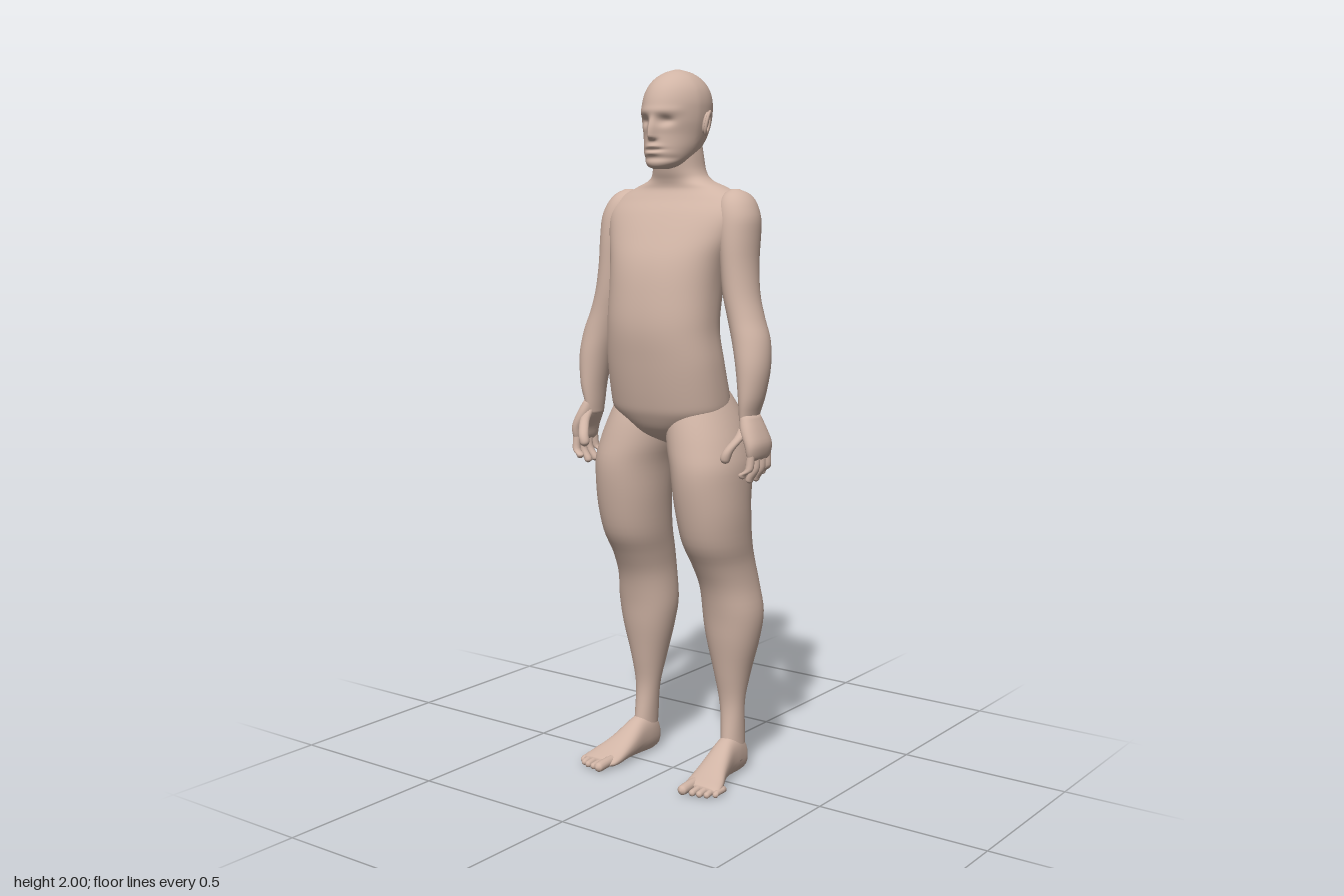
import * as THREE from 'three';

const skin = new THREE.MeshStandardMaterial({ color: 0xd0b4a5 });
skin.name = 'skin';

// Monotone cubic interpolation of column k between rows i and i + 1
function blend(rows, i, k, t) {
  const d = (j) => rows[j + 1][k] - rows[j][k];
  const slope = (j) => {
    if (j === 0) return d(0);
    if (j === rows.length - 1) return d(j - 1);
    const a = d(j - 1), b = d(j);
    if (a * b <= 0) return 0;
    return Math.sign(a) * Math.min(Math.abs(a + b) / 2, 3 * Math.abs(a), 3 * Math.abs(b));
  };
  const t2 = t * t, t3 = t2 * t;
  return rows[i][k] * (2 * t3 - 3 * t2 + 1) + slope(i) * (t3 - 2 * t2 + t)
    + rows[i + 1][k] * (3 * t2 - 2 * t3) + slope(i + 1) * (t3 - t2);
}

// Smooth skin through rows [along, xMin, xMax, otherMin, otherMax], "along" ascending.
// axis 'y': other = z. axis 'z': other = y. power > 2 squares the cross-section off.
function loft(name, rows, { axis = 'y', sides = 32, steps = 4, power = 2, rule = null } = {}) {
  const pos = [], index = [], rings = (rows.length - 1) * steps + 1;
  const v = new THREE.Vector3();
  const add = (a, x, o) => {
    if (axis === 'y') v.set(x, a, o); else v.set(x, o, a);
    if (rule) rule(v);
    pos.push(v.x, v.y, v.z);
  };
  const tri = (a, b, c) => (axis === 'y' ? index.push(a, b, c) : index.push(a, c, b));
  const soft = (c) => Math.sign(c) * Math.abs(c) ** (2 / power);
  for (let r = 0; r < rings; r++) {
    const i = Math.min(Math.floor(r / steps), rows.length - 2);
    const [a, x0, x1, o0, o1] = [0, 1, 2, 3, 4].map((k) => blend(rows, i, k, r / steps - i));
    for (let s = 0; s < sides; s++) {
      const q = (s / sides) * Math.PI * 2;
      add(a, (x0 + x1) / 2 + (x1 - x0) / 2 * soft(Math.cos(q)),
        (o0 + o1) / 2 + (o1 - o0) / 2 * soft(Math.sin(q)));
    }
  }
  for (let r = 0; r < rings - 1; r++) for (let s = 0; s < sides; s++) {
    const a = r * sides + s, b = r * sides + (s + 1) % sides;
    tri(a, a + sides, b);
    tri(b, a + sides, b + sides);
  }
  // End caps
  const first = rows[0], last = rows[rows.length - 1], n = rings * sides;
  for (const e of [first, last]) add(e[0], (e[1] + e[2]) / 2, (e[3] + e[4]) / 2);
  for (let s = 0; s < sides; s++) {
    const t = (s + 1) % sides, top = n - sides;
    tri(n, s, t);
    tri(n + 1, top + t, top + s);
  }
  const g = new THREE.BufferGeometry();
  g.setAttribute('position', new THREE.Float32BufferAttribute(pos, 3));
  g.setIndex(index);
  g.computeVertexNormals();
  const mesh = new THREE.Mesh(g, skin);
  mesh.name = name;
  return mesh;
}

// Rows for centred parts, from [y, halfWidth, back, front]
const centred = (rows) => rows.map(([y, w, b, f]) => [y, -w, w, b, f]);
// Mirror rows to the chosen side
const toSide = (rows, s) => rows.map(([a, x0, x1, o0, o1]) => (s > 0 ? [a, x0, x1, o0, o1] : [a, -x1, -x0, o0, o1]));
// Rows for a rounded finger or toe through points [along, x, other]
function digit(points, r, tipAtEnd) {
  const pts = tipAtEnd ? points.map(([a, x, o]) => [-a, x, o]).reverse() : points;
  const [a0, x0, o0] = pts[0];
  const rows = [[0, 0.15], [0.3, 0.7], [1, 1]].map(([d, k]) => [a0 + d * r, x0 - k * r, x0 + k * r, o0 - k * r, o0 + k * r]);
  for (const [a, x, o] of pts.slice(1)) rows.push([a, x - r, x + r, o - r, o + r]);
  return tipAtEnd ? rows.map(([a, ...rest]) => [-a, ...rest]).reverse() : rows;
}

const bell = (d, w) => Math.exp(-((d / w) ** 2));

// Face: tapered front, eye sockets, nose, lips and chin crease
function shapeFace(v) {
  if (v.z <= 0) return;
  v.x *= 1 - 1.3 * v.z;
  const front = THREE.MathUtils.smoothstep(v.z, 0.03, 0.07);
  const noseLine = THREE.MathUtils.smoothstep(v.y, 1.803, 1.816) * (1 - THREE.MathUtils.smoothstep(v.y, 1.82, 1.885));
  v.z += front * (0.022 * bell(v.x, 0.012) * noseLine
    - 0.014 * bell(Math.abs(v.x) - 0.034, 0.02) * bell(v.y - 1.858, 0.013)
    + 0.004 * bell(v.y - 1.885, 0.012)
    + 0.006 * bell(v.x, 0.024) * (bell(v.y - 1.79, 0.006) + bell(v.y - 1.772, 0.006))
    - 0.006 * bell(v.x, 0.028) * bell(v.y - 1.781, 0.004)
    - 0.004 * bell(v.y - 1.758, 0.008));
}

// Back: groove along the spine
function shapeBack(v) {
  if (v.z < 0) v.z += 0.012 * bell(v.x, 0.03) * bell(v.y - 1.35, 0.2);
}

const torsoRows = centred([
  [0.965, 0.02, -0.05, 0.02], [1.0, 0.1, -0.09, 0.09], [1.05, 0.165, -0.12, 0.125],
  [1.1, 0.178, -0.115, 0.14], [1.2, 0.175, -0.088, 0.157], [1.3, 0.166, -0.075, 0.167],
  [1.4, 0.168, -0.09, 0.157], [1.48, 0.18, -0.105, 0.138], [1.55, 0.205, -0.112, 0.105],
  [1.61, 0.223, -0.115, 0.07], [1.65, 0.205, -0.112, 0.04], [1.68, 0.145, -0.108, 0.025],
  [1.7, 0.095, -0.102, 0.028], [1.725, 0.075, -0.098, 0.036], [1.77, 0.067, -0.095, 0.045],
  [1.82, 0.06, -0.09, 0.05]]);

const headRows = centred([
  [1.73, 0.02, 0.03, 0.08], [1.738, 0.043, 0.0, 0.092], [1.755, 0.06, -0.04, 0.096],
  [1.785, 0.073, -0.08, 0.094], [1.82, 0.081, -0.11, 0.092], [1.86, 0.088, -0.126, 0.097],
  [1.9, 0.09, -0.13, 0.095], [1.94, 0.083, -0.122, 0.08], [1.97, 0.064, -0.1, 0.054],
  [1.99, 0.037, -0.068, 0.02], [2.0, 0.006, -0.03, -0.014]]);

const legRows = [
  [0.04, 0.13, 0.19, -0.11, -0.03], [0.1, 0.128, 0.187, -0.123, -0.035], [0.2, 0.118, 0.188, -0.118, -0.045],
  [0.3, 0.098, 0.203, -0.14, -0.03], [0.4, 0.074, 0.228, -0.16, -0.012], [0.48, 0.064, 0.238, -0.172, 0],
  [0.56, 0.066, 0.227, -0.167, 0.02], [0.63, 0.06, 0.223, -0.152, 0.055], [0.7, 0.05, 0.23, -0.132, 0.095],
  [0.8, 0.04, 0.236, -0.122, 0.12], [0.9, 0.03, 0.236, -0.138, 0.132], [0.97, 0.012, 0.223, -0.14, 0.124],
  [1.04, 0.004, 0.198, -0.138, 0.108], [1.1, 0.02, 0.17, -0.11, 0.085], [1.15, 0.05, 0.14, -0.07, 0.06]];

const footRows = [
  [-0.125, 0.145, 0.175, 0.02, 0.06], [-0.115, 0.132, 0.185, 0.005, 0.09], [-0.08, 0.126, 0.19, 0, 0.12],
  [-0.03, 0.125, 0.195, 0.002, 0.11], [0.03, 0.123, 0.212, 0.003, 0.074], [0.08, 0.123, 0.234, 0, 0.046],
  [0.11, 0.126, 0.242, 0.001, 0.032], [0.125, 0.135, 0.232, 0.007, 0.024]];

const armRows = [
  [1.03, 0.252, 0.29, -0.018, 0.052], [1.06, 0.249, 0.291, -0.022, 0.056], [1.12, 0.243, 0.308, -0.035, 0.062],
  [1.2, 0.228, 0.318, -0.052, 0.06], [1.27, 0.208, 0.31, -0.064, 0.052], [1.33, 0.19, 0.288, -0.068, 0.046],
  [1.4, 0.172, 0.268, -0.074, 0.045], [1.5, 0.16, 0.257, -0.09, 0.045], [1.58, 0.145, 0.257, -0.102, 0.04],
  [1.63, 0.14, 0.244, -0.1, 0.027], [1.66, 0.15, 0.222, -0.085, 0.005], [1.675, 0.172, 0.195, -0.05, -0.025]];

const palmRows = [
  [0.95, 0.296, 0.312, -0.02, 0.06], [0.96, 0.287, 0.32, -0.03, 0.071], [0.99, 0.28, 0.325, -0.035, 0.076],
  [1.03, 0.26, 0.312, -0.03, 0.07], [1.07, 0.252, 0.292, -0.02, 0.055]];

const fingers = [[0.07, 0.058, 0.9], [0.034, 0.033, 0.883], [0.003, 0.008, 0.884], [-0.028, -0.018, 0.9]];
const toes = [[0.15, 0.172, 0.0145], [0.177, 0.16, 0.0095], [0.199, 0.157, 0.0095], [0.219, 0.149, 0.009], [0.237, 0.132, 0.0085]];

export function createModel() {
  const model = new THREE.Group();
  model.name = 'figure';
  model.add(loft('torso', torsoRows, { sides: 64, steps: 6, power: 2.25, rule: shapeBack }));
  model.add(loft('head', headRows, { sides: 96, steps: 10, power: 2.1, rule: shapeFace }));

  for (const s of [1, -1]) {
    const side = s > 0 ? 'left' : 'right';
    const part = (name, rows, options) => model.add(loft(side + name, toSide(rows, s), options));
    part('Leg', legRows, { sides: 40, power: 2.1 });
    part('Foot', footRows, { axis: 'z', power: 2.3 });
    part('Arm', armRows, { sides: 40 });
    part('Palm', palmRows, { power: 2.3 });

    // Four curled fingers and a thumb
    fingers.forEach(([tipZ, rootZ, tipY], i) => part('Finger' + (i + 1),
      digit([[tipY, 0.284, tipZ], [0.93, 0.303, (tipZ + rootZ) / 2], [0.98, 0.304, rootZ]], 0.0115), { sides: 14 }));
    part('Thumb', digit([[0.942, 0.246, 0.096], [0.98, 0.254, 0.09], [1.02, 0.272, 0.058], [1.05, 0.272, 0.035]], 0.0145), { sides: 16 });

    // Toes
    toes.forEach(([x, tip, r], i) => part('Toe' + (i + 1),
      digit([[0.08, x, r + 0.006], [0.12, x, r + 0.005], [tip, x, r + 0.002]], r, true), { axis: 'z', sides: 14 }));

    // Ear: shallow bowl with a raised rim
    const ear = new THREE.Group();
    ear.name = side + 'Ear';
    const bowl = new THREE.Mesh(new THREE.SphereGeometry(1, 20, 14), skin);
    bowl.name = 'earBowl';
    bowl.scale.set(0.008, 0.03, 0.016);
    const rim = new THREE.Mesh(new THREE.TorusGeometry(0.016, 0.0045, 8, 28).scale(1, 1.75, 1).rotateY(Math.PI / 2), skin);
    rim.name = 'earRim';
    rim.position.x = s * 0.006;
    ear.add(bowl, rim);
    ear.position.set(s * 0.091, 1.855, -0.027);
    ear.rotation.set(-0.15, s * 0.4, -s * 0.12);
    model.add(ear);
  }
  return model;
}
